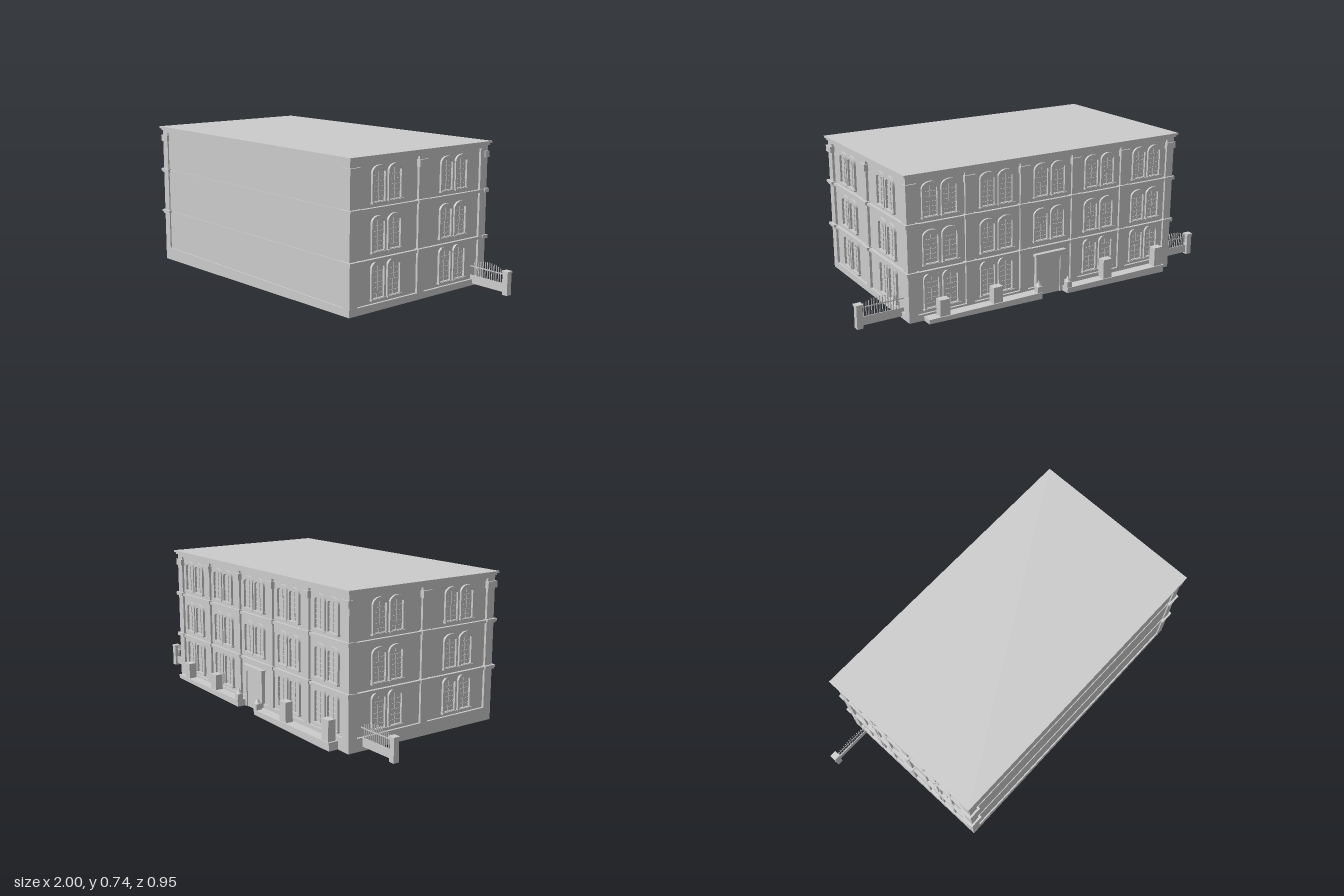
import * as THREE from 'three';

const stone = new THREE.MeshStandardMaterial({ color: 0xcccccc });
stone.name = 'grey stone';

// sloping ground under the building
const ground = (x, z) => Math.max(0, 0.021 + 0.0208 * x - 0.006 * z);

function add(parent, name, geometry) {
  const mesh = new THREE.Mesh(geometry, stone);
  mesh.name = name;
  parent.add(mesh);
  return mesh;
}

// box given by its limits; y0 === null makes the bottom follow the ground
function box(parent, name, x0, x1, y0, y1, z0, z1) {
  const low = y0 === null ? 0 : y0;
  const g = new THREE.BoxGeometry(x1 - x0, y1 - low, z1 - z0);
  g.translate((x0 + x1) / 2, (low + y1) / 2, (z0 + z1) / 2);
  if (y0 === null) {
    const p = g.attributes.position;
    for (let i = 0; i < p.count; i++) {
      if (p.getY(i) < 1e-4) p.setY(i, ground(p.getX(i), p.getZ(i)));
    }
    g.computeVertexNormals();
  }
  return add(parent, name, g);
}

// rectangle with a segmental arch on top
function archPath(path, w, y0, spring, rise) {
  path.moveTo(-w / 2, y0);
  path.lineTo(w / 2, y0);
  path.lineTo(w / 2, spring);
  path.absellipse(0, spring, w / 2, rise, 0, Math.PI, false);
  path.lineTo(-w / 2, y0);
  return path;
}

// arched window facing local +z, standing on its sill
function makeWindow(height) {
  const win = new THREE.Group();
  win.name = 'archedWindow';
  const shape = archPath(new THREE.Shape(), 0.088, 0, height - 0.032, 0.032);
  shape.holes.push(archPath(new THREE.Path(), 0.066, 0.006, height - 0.032, 0.014));
  add(win, 'windowFrame', new THREE.ExtrudeGeometry(shape, { depth: 0.012, bevelEnabled: false, curveSegments: 10 }));
  box(win, 'windowSill', -0.047, 0.047, -0.004, 0.004, 0, 0.017);
  box(win, 'mullion', -0.002, 0.002, 0.006, height - 0.02, 0, 0.004);
  const rows = 6;
  for (let i = 1; i < rows; i++) {
    const y = (i / rows) * (height - 0.025);
    box(win, 'glazingBar', -0.033, 0.033, y - 0.0015, y + 0.0015, 0, 0.004);
  }
  return win;
}

const floors = [[0.088, 0.177], [0.304, 0.166], [0.528, 0.166]]; // sill height, window height
const bands = [0.272, 0.502];

function windowPair(parent, x, z, turn, floor) {
  const pair = new THREE.Group();
  pair.name = 'windowPair';
  for (const s of [-1, 1]) {
    const w = makeWindow(floors[floor][1]);
    w.position.x = s * 0.049;
    pair.add(w);
  }
  pair.position.set(x, floors[floor][0], z);
  pair.rotation.y = turn;
  parent.add(pair);
}

export function createModel() {
  const model = new THREE.Group();
  model.name = 'building';

  // main block, plinth, frieze, cornice and roof
  box(model, 'walls', -0.758, 0.758, 0.05, 0.73, -0.411, 0.453);
  box(model, 'plinth', -0.77, 0.77, null, 0.07, -0.422, 0.46);
  box(model, 'frieze', -0.77, 0.77, 0.71, 0.724, -0.422, 0.46);
  box(model, 'cornice', -0.777, 0.777, 0.722, 0.733, -0.43, 0.465);
  box(model, 'roof', -0.785, 0.785, 0.732, 0.742, -0.437, 0.473);

  // string courses
  for (const y of bands) {
    box(model, 'stringCourse', -0.774, 0.774, y - 0.008, y + 0.006, -0.426, 0.457);
  }

  // pilasters on the two short sides
  for (const s of [-1, 1]) {
    const side = (name, a, b, y0, y1, z0, z1) =>
      box(model, name, Math.min(s * a, s * b), Math.max(s * a, s * b), y0, y1, z0, z1);
    for (const [z0, z1] of [[0.413, 0.46], [0, 0.042], [-0.422, -0.375]]) {
      side('sidePilaster', 0.725, 0.77, 0.06, 0.715, z0, z1);
      if (z0 < -0.1) continue;
      side('sideCapital', z1 > 0.4 ? 0.72 : 0.75, 0.78, 0.663, 0.695, z0 - 0.006, z1 + 0.006);
      for (const y of bands) {
        side('pilasterCollar', z1 > 0.4 ? 0.715 : 0.75, 0.779, y - 0.01, y - 0.002, z0 - 0.006, z1 + 0.006);
        side('pilasterCollar', z1 > 0.4 ? 0.712 : 0.75, 0.784, y - 0.002, y + 0.01, z0 - 0.01, z1 + 0.01);
      }
    }
    // window pairs on the short sides
    for (const z of [0.235, -0.197]) {
      for (let f = 0; f < 3; f++) windowPair(model, s * 0.757, z, s * Math.PI / 2, f);
    }
  }

  // pilasters along the back
  for (let i = 0; i < 6; i++) {
    const x = -0.747 + i * 0.2988;
    box(model, 'backPilaster', x - 0.022, x + 0.022, 0.06, 0.715, -0.422, -0.4);
    box(model, 'backCapital', x - 0.028, x + 0.028, 0.663, 0.695, -0.43, -0.4);
    for (const y of bands) {
      box(model, 'pilasterCollar', x - 0.032, x + 0.032, y - 0.008, y + 0.01, -0.432, -0.4);
    }
  }

  // five window bays at the back, with the door in the middle
  for (let i = -2; i <= 2; i++) {
    for (let f = 0; f < 3; f++) {
      if (i !== 0 || f !== 0) windowPair(model, i * 0.2988, -0.41, Math.PI, f);
    }
  }

  // door with stepped surround
  for (const s of [-1, 1]) {
    box(model, 'doorJamb', s * 0.071 - 0.012, s * 0.071 + 0.012, null, 0.22, -0.43, -0.4);
  }
  box(model, 'doorLintel', -0.083, 0.083, 0.212, 0.232, -0.43, -0.4);
  box(model, 'doorCornice', -0.09, 0.09, 0.23, 0.241, -0.434, -0.4);
  box(model, 'door', -0.06, 0.06, null, 0.213, -0.424, -0.4);

  // low terraces with pedestals on either side of the door
  for (const s of [-1, 1]) {
    const top = s > 0 ? 0.06 : 0.05;
    const inner = s * 0.075, outer = s * 0.695;
    const x0 = Math.min(inner, outer), x1 = Math.max(inner, outer);
    box(model, 'terrace', x0, x1, null, top - 0.01, -0.473, -0.41);
    box(model, 'terraceCoping', x0, x1, top - 0.01, top, -0.476, -0.41);
    for (const x of [0.325, s > 0 ? 0.61 : 0.66]) {
      box(model, 'pedestal', s * x - 0.026, s * x + 0.026, top - 0.005, s > 0 ? 0.14 : 0.15, -0.47, -0.43);
    }
    box(model, 'doorPost', s * 0.087 - 0.014, s * 0.087 + 0.014, top - 0.005, top + 0.03, -0.473, -0.443);
    const cap = add(model, 'doorPostCap', new THREE.ConeGeometry(0.017, 0.03, 4, 1));
    cap.rotation.y = Math.PI / 4;
    cap.position.set(s * 0.087, top + 0.045, -0.458);
  }

  // side fences: low wall, rails, spiked pickets and end post
  for (const s of [-1, 1]) {
    const lift = s > 0 ? 0.04 : 0.02;
    const fence = new THREE.Group();
    fence.name = 'fence';
    box(fence, 'fenceWall', 0.757, 0.968, 0.008, 0.05, -0.343, -0.338);
    box(fence, 'fenceRail', 0.757, 0.968, 0.092, 0.097, -0.342, -0.339);
    for (let i = 0; i < 14; i++) {
      const x = 0.782 + i * 0.0135;
      const top = 0.115 + 0.018 * Math.sin((i / 13) * Math.PI);
      box(fence, 'picket', x - 0.0018, x + 0.0018, 0.045, top, -0.342, -0.339);
    }
    box(fence, 'fencePost', 0.967, 0.997, -0.002, 0.108, -0.355, -0.326);
    box(fence, 'fencePostCap', 0.964, 1, 0.106, 0.115, -0.358, -0.323);
    fence.position.y = lift;
    if (s < 0) {
      // mirrored by turning about the fence line
      fence.rotation.y = Math.PI;
      fence.position.z = -0.681;
    }
    model.add(fence);
  }
  return model;
}
